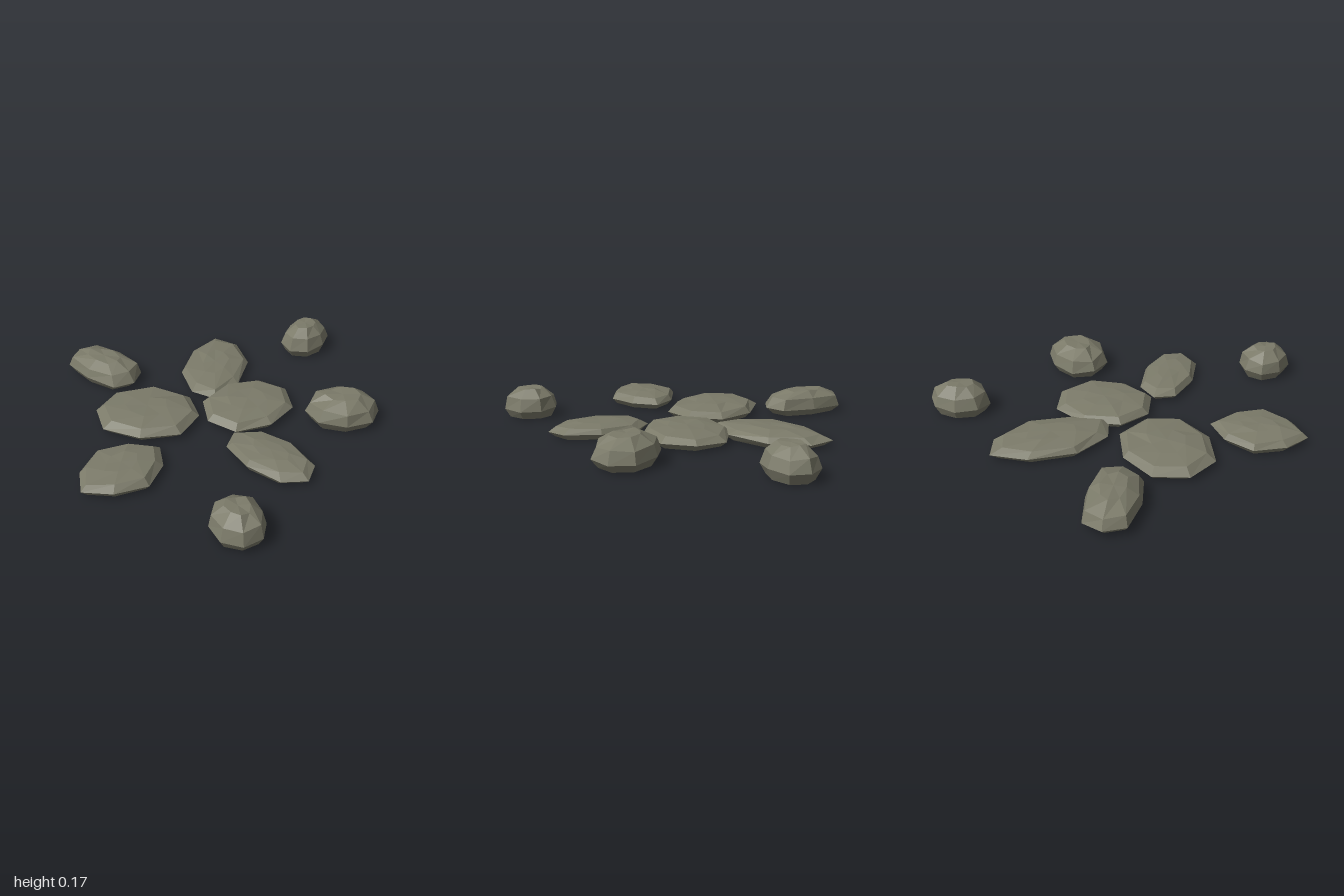
import * as THREE from 'three';

// Profiles: rings of [scale of the outline, fraction of the height]
const FLAT = [[0.86, 0], [1, 0.4], [0.84, 0.78], [0.4, 0.96]];
const ROUND = [[0.8, 0], [1, 0.3], [0.87, 0.7], [0.45, 0.97]];

const SIDES = 8;

// Seeded random numbers for the chipped look
function makeRandom(seed) {
  let s = seed;
  return () => (s = (s * 16807) % 2147483647) / 2147483647;
}

// Octagonal outline: half-length and half-width, with corners pushed out by `fullness`,
// leaned sideways by `shear` and turned by `degrees`
function outlineOffsets(length, width, degrees, fullness, shear) {
  const turn = THREE.MathUtils.degToRad(degrees);
  const offsets = [];
  for (let i = 0; i < SIDES; i++) {
    const t = (i / SIDES) * Math.PI * 2;
    const reach = i % 2 ? fullness * Math.SQRT2 : 1;
    const v = Math.sin(t) * reach * width;
    const u = Math.cos(t) * reach * length + shear * v;
    offsets.push(new THREE.Vector2(u, v).rotateAround(new THREE.Vector2(), turn));
  }
  return offsets;
}

// Faceted stone: scaled copies of the outline stacked in rings, closed above and below
function stoneGeometry(height, profile, outline, random) {
  const positions = [], index = [];
  profile.forEach(([scale, level], r) => {
    for (const corner of outline) {
      const k = scale + (r > 1 ? (random() - 0.5) * 0.1 : 0);
      const y = r === 0 ? 0 : level + (random() - 0.5) * 0.1;
      positions.push(corner.x * k, height * Math.min(y, 1), corner.y * k);
    }
  });
  const bottom = profile.length * SIDES, top = bottom + 1, last = bottom - SIDES;
  positions.push(0, 0, 0, 0, height * 0.98, 0);
  for (let i = 0; i < SIDES; i++) {
    const j = (i + 1) % SIDES;
    for (let start = 0; start < last; start += SIDES) {
      const a = start + i, b = start + j, c = a + SIDES, d = b + SIDES;
      index.push(a, c, b, b, c, d);
    }
    index.push(bottom, i, j, top, last + j, last + i);
  }
  const indexed = new THREE.BufferGeometry();
  indexed.setAttribute('position', new THREE.Float32BufferAttribute(positions, 3));
  indexed.setIndex(index);
  // Separate corners give each facet its own normal
  const geometry = indexed.toNonIndexed();
  geometry.computeVertexNormals();
  return geometry;
}

export function createModel() {
  const group = new THREE.Group();
  group.name = 'scatteredStones';
  const stone = new THREE.MeshStandardMaterial({ color: 0x7b7a69 });
  stone.name = 'mossy grey stone';
  const random = makeRandom(4217);

  function addStone(name, profile, height, x, z, length, width, degrees, fullness, shear) {
    const outline = outlineOffsets(length, width, degrees, fullness, shear);
    const mesh = new THREE.Mesh(stoneGeometry(height, profile, outline, random), stone);
    mesh.name = name;
    mesh.position.set(x, 0, z);
    group.add(mesh);
  }

  // Low flat slabs in the middle
  addStone('broadSlab', FLAT, 0.083, -0.365, -0.22, 0.277, 0.272, 83, 0.68, -0.15);
  addStone('pointedSlab', FLAT, 0.076, 0.22, -0.4, 0.345, 0.195, -54, 0.67, 0.3);
  addStone('centreSlab', FLAT, 0.08, 0.125, 0.038, 0.27, 0.233, 0, 0.73, -0.08);
  addStone('rightSlab', FLAT, 0.082, -0.743, 0.135, 0.261, 0.2, 170, 0.63, 0.02);
  addStone('frontSlab', FLAT, 0.076, -0.075, 0.485, 0.276, 0.15, 85, 0.73, -0.1);

  // Taller rounded stones around them
  addStone('backStone', ROUND, 0.135, -0.32, -0.755, 0.242, 0.14, 77, 0.78, 0);
  addStone('frontLeftStone', ROUND, 0.158, 0.485, 0.41, 0.186, 0.188, -6, 0.69, 0.2);
  addStone('leftStone', ROUND, 0.172, 0.839, -0.315, 0.168, 0.13, -18, 0.72, 0);
  addStone('frontRightStone', ROUND, 0.166, -0.543, 0.83, 0.154, 0.144, 77, 0.69, 0.14);
  return group;
}
